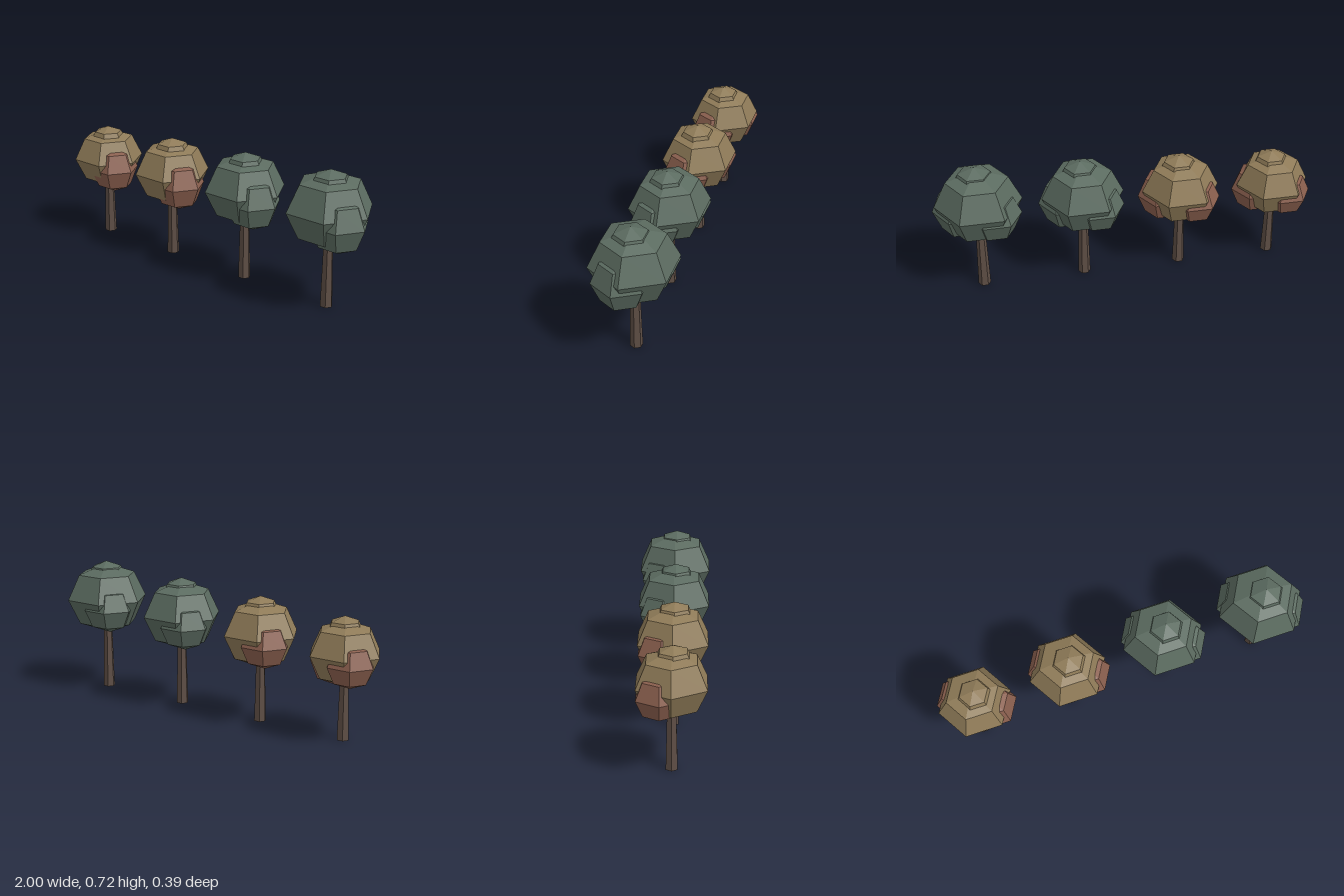
import * as THREE from 'three';

const paint = (name, color) => {
  const m = new THREE.MeshStandardMaterial({ color, flatShading: true });
  m.name = name;
  return m;
};

// Faceted foliage ball: six sides, four bands, corners pointing along x
function ball(name, material, radius, height, x, y, z) {
  const mesh = new THREE.Mesh(new THREE.SphereGeometry(1, 6, 4), material);
  mesh.name = name;
  mesh.scale.set(radius, height, radius);
  mesh.position.set(x, y, z);
  return mesh;
}

// k scales the main crown, s the smaller clumps around it
function tree({ name, x, y, k, s, leaf, clump, bark }) {
  const g = new THREE.Group();
  g.name = name;
  g.position.x = x;

  // Tapered six-sided trunk reaching into the crown
  const trunk = new THREE.Mesh(new THREE.CylinderGeometry(0.021, 0.033, y, 6).rotateY(Math.PI / 6), bark);
  trunk.name = 'trunk';
  trunk.position.y = y / 2;

  g.add(
    trunk,
    ball('crown', leaf, 0.2275 * k, 0.195 * k, 0, y, 0),
    ball('crownTop', leaf, 0.119 * s, 0.109 * s, 0.01 * s, y + 0.098 * s, 0.0095 * s),
    ball('leftClump', clump, 0.15 * s, 0.152 * s, 0.088 * s, y - 0.0495 * s, 0.035 * s),
    ball('backRightClump', clump, 0.143 * s, 0.133 * s, -0.073 * s, y - 0.045 * s, -0.062 * s)
  );
  return g;
}

export function createModel() {
  const bark = paint('bark brown', 0x5e4e45);
  const ochre = paint('ochre leaves', 0x8f7b58);
  const russet = paint('russet leaves', 0x8a5f4e);
  const green = paint('grey green leaves', 0x5b6b60);

  // Row of four trees growing in size, two autumnal and two green
  const model = new THREE.Group();
  model.name = 'treeRow';
  model.add(
    tree({ name: 'autumnTreeSmall', x: -0.807, y: 0.444, k: 0.85, s: 0.89, leaf: ochre, clump: russet, bark }),
    tree({ name: 'autumnTreeLarge', x: -0.302, y: 0.468, k: 0.9, s: 0.93, leaf: ochre, clump: russet, bark }),
    tree({ name: 'greenTreeSmall', x: 0.22, y: 0.492, k: 0.95, s: 0.965, leaf: green, clump: green, bark }),
    tree({ name: 'greenTreeLarge', x: 0.762, y: 0.515, k: 1, s: 1, leaf: green, clump: green, bark })
  );
  return model;
}
